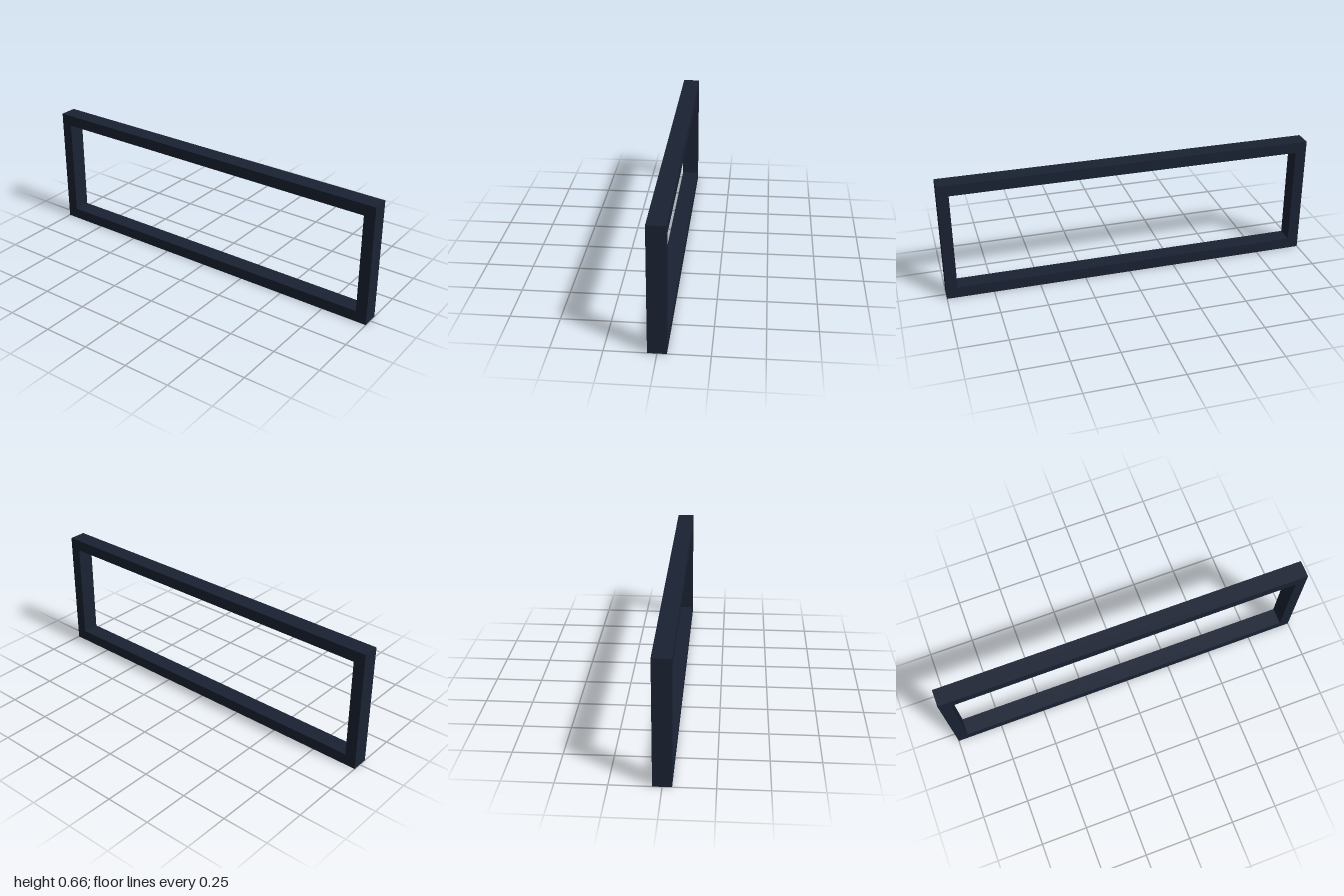
import * as THREE from 'three';

const LENGTH = 2, HEIGHT = 0.656, DEPTH = 0.092, BAR = 0.06;

// Rectangle outline centred on x, inset evenly from the outer edge
function rectangle(path, inset) {
  const x = LENGTH / 2 - inset, bottom = inset, top = HEIGHT - inset;
  path.moveTo(-x, bottom);
  path.lineTo(x, bottom);
  path.lineTo(x, top);
  path.lineTo(-x, top);
  path.closePath();
  return path;
}

export function createModel() {
  const group = new THREE.Group();
  group.name = 'rectangularFrame';

  // One continuous frame: outer rectangle with a rectangular opening
  const outline = rectangle(new THREE.Shape(), 0);
  outline.holes.push(rectangle(new THREE.Path(), BAR));
  const geometry = new THREE.ExtrudeGeometry(outline, { depth: DEPTH, bevelEnabled: false });

  // Centre the thickness and turn the long side along z
  geometry.translate(0, 0, -DEPTH / 2);
  geometry.rotateY(Math.PI / 2);

  const frame = new THREE.Mesh(geometry, new THREE.MeshStandardMaterial({ color: 0x1a2233 }));
  frame.name = 'frame';
  group.add(frame);
  return group;
}
